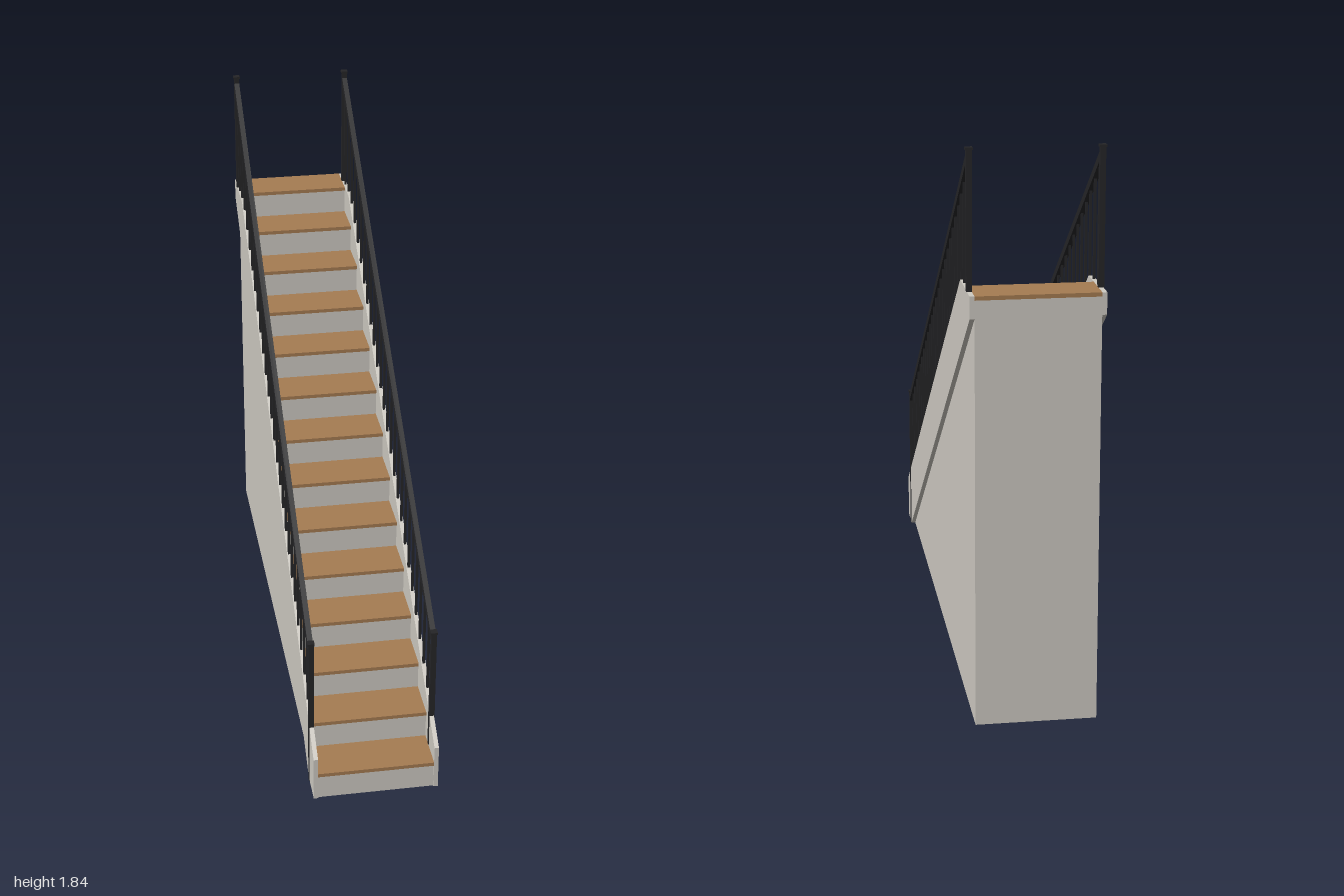
import * as THREE from 'three';

const STEPS = 14, RUN = 2 / STEPS, RISE = 0.1, TREAD = 0.013, NOSE = 0.005;
const INNER = 0.195, OUTER = 0.21, RAIL_X = 0.203;

export function createModel() {
  const model = new THREE.Group();
  model.name = 'staircase';
  const plaster = new THREE.MeshStandardMaterial({ color: 0xcfcbc3 });
  const wood = new THREE.MeshStandardMaterial({ color: 0xa67c52 });
  const iron = new THREE.MeshStandardMaterial({ color: 0x252527 });

  const add = (parent, name, geometry, material, x = 0, y = 0, z = 0) => {
    const mesh = new THREE.Mesh(geometry, material);
    mesh.name = name;
    mesh.position.set(x, y, z);
    parent.add(mesh);
    return mesh;
  };
  const box = (parent, name, w, h, d, material, x, y, z) =>
    add(parent, name, new THREE.BoxGeometry(w, h, d), material, x, y, z);

  // Extrudes a [z, y] side profile across x, centred on x = 0
  const sideProfile = (points, width) => {
    const shape = new THREE.Shape(points.map(([z, y]) => new THREE.Vector2(z, y)));
    return new THREE.ExtrudeGeometry(shape, { depth: width, bevelEnabled: false })
      .translate(0, 0, -width / 2)
      .rotateY(-Math.PI / 2);
  };

  // Solid stepped body down to the floor
  const steps = [[-1, 0], [1 - NOSE, 0]];
  for (let i = 0; i < STEPS; i++) {
    const front = 1 - i * RUN - NOSE, top = (i + 1) * RISE - TREAD;
    const back = i === STEPS - 1 ? -1 : front - RUN;
    steps.push([front, top], [back, top]);
  }
  add(model, 'steppedBody', sideProfile(steps, 2 * INNER), plaster);

  // Wooden treads with a slight nosing
  for (let i = 0; i < STEPS; i++) {
    const front = 1 - i * RUN;
    const back = i === STEPS - 1 ? -1 : front - RUN - NOSE;
    box(model, 'tread', 2 * INNER, TREAD, front - back, wood,
      0, (i + 1) * RISE - TREAD / 2, (front + back) / 2);
  }

  // Sloping side stringers and railings
  const stringer = [[0.89, 0], [1, 0], [1, 0.16], [-0.77, 1.4], [-1, 1.4], [-1, 1.33]];
  const lowZ = 0.9, highZ = -0.93, lowY = 0.528, highY = 1.806;
  const slope = (highY - lowY) / (lowZ - highZ);
  const railY = (z) => lowY + (lowZ - z) * slope;
  const stringerY = (z) => Math.min(1.4, 0.16 + (1 - z) * 0.7);

  for (const side of [1, -1]) {
    add(model, side > 0 ? 'leftStringer' : 'rightStringer',
      sideProfile(stringer, OUTER - INNER), plaster, side * (INNER + OUTER) / 2);

    const railing = new THREE.Group();
    railing.name = side > 0 ? 'leftRailing' : 'rightRailing';
    railing.position.x = side * RAIL_X;
    model.add(railing);

    // End posts with flat caps
    for (const [z, bottom, top] of [[lowZ, 0, 0.56], [highZ, 1.4, 1.84]]) {
      box(railing, 'post', 0.018, top - bottom, 0.018, iron, 0, (top + bottom) / 2, z);
      box(railing, 'postCap', 0.023, 0.008, 0.023, iron, 0, top - 0.004, z);
    }

    // Handrail
    const rail = box(railing, 'handrail', 0.018, 0.024, Math.hypot(lowZ - highZ, highY - lowY),
      iron, 0, (lowY + highY) / 2, (lowZ + highZ) / 2);
    rail.rotation.x = Math.atan(slope);

    // Balusters, two per step
    for (let i = 0; i < 25; i++) {
      const z = 0.825 - i * RUN / 2;
      const bottom = stringerY(z) - 0.01, top = railY(z);
      box(railing, 'baluster', 0.008, top - bottom, 0.008, iron, 0, (top + bottom) / 2, z);
    }
  }
  return model;
}
